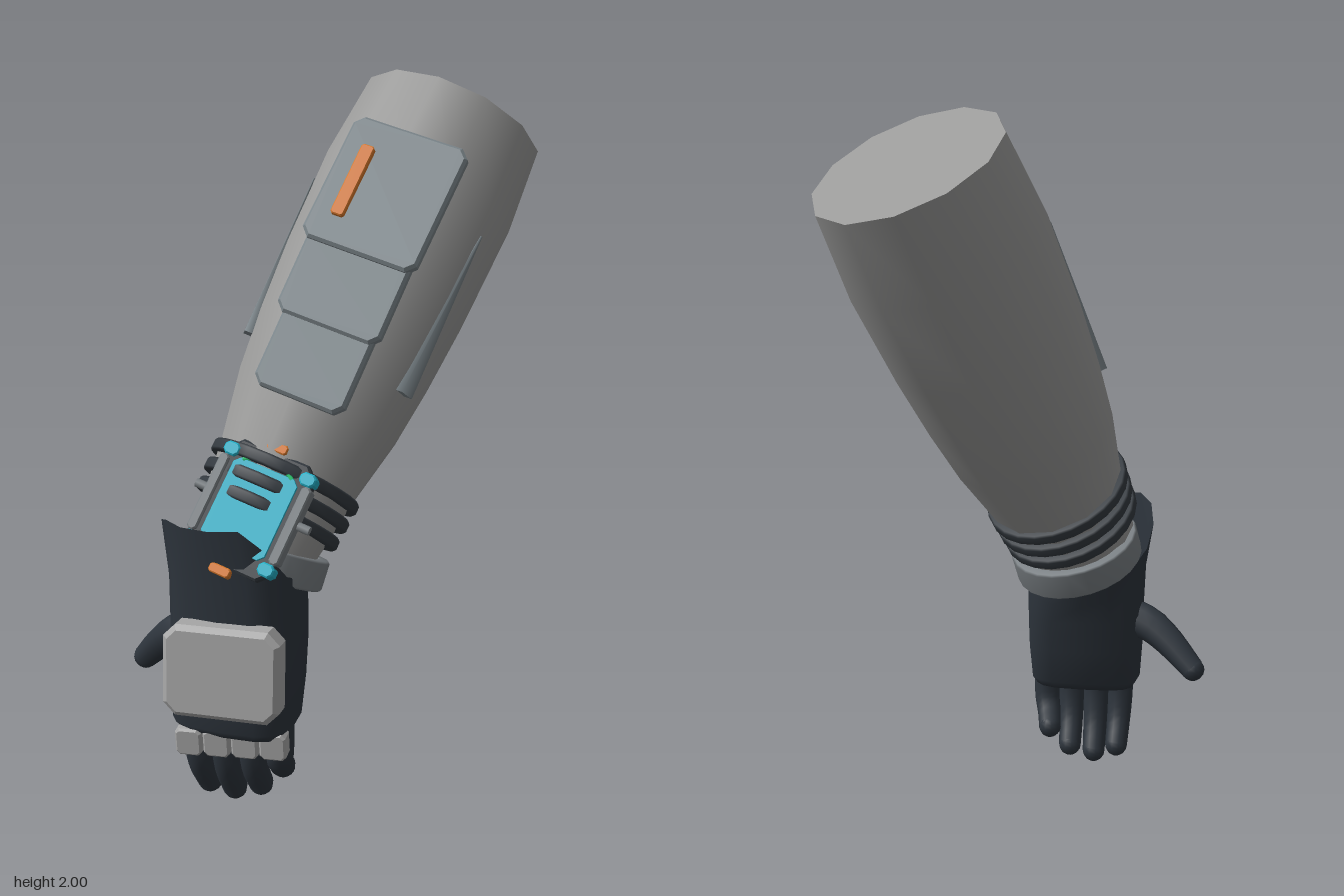
import * as THREE from 'three';

const mat = (name, color, side = THREE.FrontSide) => {
  const m = new THREE.MeshStandardMaterial({ color, side });
  m.name = name;
  return m;
};

export function createModel() {
  const M = {
    sleeve: mat('sleeve grey', 0x9b9b9a),
    armor: mat('armor blue grey', 0x7d878c),
    pale: mat('pale guard grey', 0xa8a8a8),
    glove: mat('glove charcoal', 0x2d343c, THREE.DoubleSide),
    dark: mat('frame charcoal', 0x343a40),
    band: mat('band grey', 0x7a8084, THREE.DoubleSide),
    cyan: mat('screen cyan', 0x25b4cc),
    orange: mat('accent orange', 0xdb7a2c),
    green: mat('dial green', 0x2fc973),
  };
  const root = new THREE.Group();
  root.name = 'armoredForearm';
  const add = (parent, name, geo, material, pos = [0, 0, 0], rot = [0, 0, 0]) => {
    const m = new THREE.Mesh(geo, material);
    m.name = name;
    m.position.set(...pos);
    m.rotation.set(...rot);
    parent.add(m);
    return m;
  };
  const V = (x, y, z) => new THREE.Vector3(x, y, z);

  // Flat plate with cut corners and a bevelled rim, from z = 0 to z = t
  const plate = (w, h, t, cut, bevel) => {
    const x = w / 2 - bevel, y = h / 2 - bevel;
    const s = new THREE.Shape([
      [-x + cut, -y], [x - cut, -y], [x, -y + cut], [x, y - cut],
      [x - cut, y], [-x + cut, y], [-x, y - cut], [-x, -y + cut],
    ].map(p => new THREE.Vector2(...p)));
    const g = new THREE.ExtrudeGeometry(s, {
      depth: t - 2 * bevel, bevelThickness: bevel, bevelSize: bevel, bevelSegments: 1,
    });
    return g.translate(0, 0, bevel);
  };

  // Surface through rings of equal point count, listed from bottom to top
  const loft = (rings, capBottom) => {
    const n = rings[0].length, pos = rings.flat().flatMap(p => p.toArray()), idx = [];
    for (let i = 0; i < rings.length - 1; i++) {
      for (let j = 0; j < n; j++) {
        const a = i * n + j, b = i * n + (j + 1) % n;
        idx.push(a, a + n, b, b, a + n, b + n);
      }
    }
    if (capBottom) for (let j = 1; j < n - 1; j++) idx.push(0, j, j + 1);
    const g = new THREE.BufferGeometry();
    g.setAttribute('position', new THREE.Float32BufferAttribute(pos, 3));
    g.setIndex(idx);
    g.computeVertexNormals();
    return g;
  };

  // Tapering finger with a rounded tip
  const digit = (name, pts, r0, r1) => {
    const g = new THREE.Group();
    g.name = name;
    const curve = new THREE.CatmullRomCurve3(pts.map(p => V(...p)));
    const n = 8, sides = 10, geo = new THREE.TubeGeometry(curve, n, 1, sides);
    const p = geo.attributes.position, v = V(0, 0, 0);
    for (let i = 0; i < p.count; i++) {
      const t = Math.floor(i / (sides + 1)) / n, c = curve.getPointAt(t);
      v.fromBufferAttribute(p, i).sub(c).multiplyScalar(r0 + (r1 - r0) * t).add(c);
      p.setXYZ(i, v.x, v.y, v.z);
    }
    add(g, name + 'Shaft', geo, M.glove);
    add(g, name + 'Tip', new THREE.SphereGeometry(r1, 10, 8), M.glove, pts[pts.length - 1]);
    root.add(g);
  };

  // Forearm frame: origin at the wrist, y up the arm, z out of the armor
  const wrist = V(-0.06, 0.92, 0.19);
  const U = V(0.245, 1.86, -0.36).sub(wrist).normalize();
  const X = V(0.96, -0.27, 0.05);
  X.addScaledVector(U, -X.dot(U)).normalize();
  const Z = V(0, 0, 0).crossVectors(X, U);
  const arm = new THREE.Group();
  arm.name = 'forearm';
  arm.quaternion.setFromRotationMatrix(new THREE.Matrix4().makeBasis(X, U, Z));
  arm.position.copy(wrist);
  root.add(arm);

  const profile = [[0.165, -0.27], [0.205, 0.02], [0.245, 0.22], [0.265, 0.4],
    [0.279, 0.6], [0.287, 0.88], [0.267, 1.131]].map(p => new THREE.Vector2(...p));
  add(arm, 'sleeve', new THREE.LatheGeometry(profile, 12), M.sleeve);
  add(arm, 'sleeveEnd', new THREE.CircleGeometry(0.267, 12), M.sleeve, [0, 1.131, 0], [-Math.PI / 2, 0, 0]);

  // Stepped forearm plates: centre x, bottom, top, width, base height
  [[0.012, 0.575, 0.947, 0.335, 0.266], [0.014, 0.37, 0.62, 0.303, 0.251],
    [0.018, 0.17, 0.42, 0.265, 0.23]].forEach(([x, b, t, w, z], i) =>
    add(arm, 'forearmPlate' + (i + 1), plate(w, t - b, 0.035, 0.02, 0.008), M.armor,
      [x, (b + t) / 2, z], [i ? 0.06 : -0.02, 0, 0]));
  add(arm, 'plateStripe', plate(0.038, 0.21, 0.02, 0.004, 0.003), M.orange, [-0.078, 0.76, 0.297]);

  // Tapered fins on both sides
  for (const s of [-1, 1]) {
    const fin = new THREE.CylinderGeometry(0.003, 0.032, 0.48, 4, 1).rotateY(Math.PI / 4);
    fin.scale(0.85, 1, 1.1);
    add(arm, s > 0 ? 'leftFin' : 'rightFin', fin, M.armor,
      [s * 0.244, 0.555, 0.118], [0.02, s * -0.4, s * -0.055]);
  }

  // Wrist rings
  const ring = (r, h, t) => new THREE.LatheGeometry([
    [r - t, -h / 2], [r - 0.005, -h / 2], [r, -h / 2 + 0.006], [r, h / 2 - 0.006],
    [r - 0.005, h / 2], [r - t, h / 2]].map(p => new THREE.Vector2(...p)), 24);
  [0, -0.055, -0.11].forEach((b, i) =>
    add(arm, 'wristRing' + (i + 1), ring(0.219 - i * 0.004, 0.034, 0.04), M.dark, [0, b, 0]));
  const cuffBand = add(root, 'cuffBand', ring(0.195, 0.085, 0.03), M.band, [-0.11, 0.715, 0.27]);
  cuffBand.quaternion.setFromUnitVectors(V(0, 1, 0), V(0.2, 0.92, -0.33).normalize());

  // Wrist display
  const display = new THREE.Group();
  display.name = 'wristDisplay';
  display.position.set(0.013, -0.135, 0.16);
  arm.add(display);
  add(display, 'displayFrame', plate(0.26, 0.33, 0.034, 0.03, 0.006), M.dark);
  add(display, 'screen', plate(0.19, 0.23, 0.008, 0.015, 0.001), M.cyan, [0, 0, 0.033]);
  add(display, 'dialArc', new THREE.TorusGeometry(0.13, 0.006, 6, 16, 1.2), M.green,
    [0, 0.005, 0.038], [0, 0, Math.PI / 2 - 0.6]);
  for (const s of [-1, 1]) {
    add(display, 'sideRail', plate(0.028, 0.22, 0.045, 0.006, 0.004), M.band, [s * 0.122, 0, 0]);
    add(display, 'sideKnob', new THREE.CylinderGeometry(0.012, 0.012, 0.04, 8), M.band,
      [s * 0.15, 0.01, 0.02], [0, 0, Math.PI / 2]);
    add(display, 'endTab', plate(0.06, 0.026, 0.045, 0.004, 0.003), M.orange, [0, s * 0.176, 0]);
    for (const t of [-1, 1]) {
      add(display, 'cornerLug', plate(0.045, 0.036, 0.046, 0.008, 0.004), M.cyan, [s * 0.113, t * 0.128, 0]);
    }
  }

  // Glove: rounded sections from the knuckles up to a slanted cuff rim
  const N = 16;
  const section = (ySpec, cx, cz, rx, rz, e) => Array.from({ length: N }, (_, j) => {
    const a = j / N * Math.PI * 2, c = Math.cos(a), s = Math.sin(a);
    const sq = v => Math.sign(v) * Math.abs(v) ** e;
    return V(cx + rx * sq(c), Array.isArray(ySpec) ? ySpec[j] : ySpec, cz + rz * sq(s));
  });
  const rim = [0.69, 0.72, 0.80, 0.86, 0.855, 0.855, 0.86, 0.84,
    0.79, 0.73, 0.68, 0.64, 0.61, 0.61, 0.63, 0.66];
  const mid = rim.map(y => 0.5 + (y - 0.5) * 0.55);
  add(root, 'glove', loft([
    section(0.265, -0.13, 0.38, 0.155, 0.1, 0.6),
    section(0.29, -0.13, 0.38, 0.17, 0.122, 0.6),
    section(0.4, -0.13, 0.366, 0.178, 0.138, 0.65),
    section(0.5, -0.13, 0.355, 0.18, 0.15, 0.7),
    section(mid, -0.133, 0.347, 0.184, 0.16, 0.8),
    section(rim, -0.145, 0.345, 0.193, 0.176, 0.9),
  ], true), M.glove);

  // Back-of-hand guard and knuckle guards
  add(root, 'handGuard', plate(0.318, 0.25, 0.08, 0.025, 0.014), M.pale,
    [-0.107, 0.477, 0.484], [-0.06, 0.1, 0]);
  for (let i = 0; i < 4; i++) {
    add(root, 'knuckleGuard' + (i + 1), plate(0.074, 0.08, 0.05, 0.008, 0.006), M.pale,
      [-0.235 + i * 0.077, 0.243 + i * 0.002, 0.442 - i * 0.012], [0.1, 0.12, 0]);
  }

  // Curled fingers and thumb
  [[-0.23, 0.062, 0.35], [-0.16, 0.045, 0.335], [-0.085, 0.065, 0.325], [-0.022, 0.125, 0.315]]
    .forEach(([x, y, z], i) => {
      const bx = -0.235 + i * 0.077, bz = 0.415 - i * 0.01;
      digit('finger' + (i + 1), [[bx, 0.3, bz], [bx, 0.2, bz - 0.005],
        [(bx + x) / 2, (0.2 + y) / 2, (bz + z) / 2 + 0.01], [x, y, z]], 0.043, 0.035);
    });
  digit('thumb', [[-0.25, 0.5, 0.34], [-0.33, 0.48, 0.315], [-0.39, 0.44, 0.29], [-0.472, 0.362, 0.25]],
    0.062, 0.036);

  return root;
}
